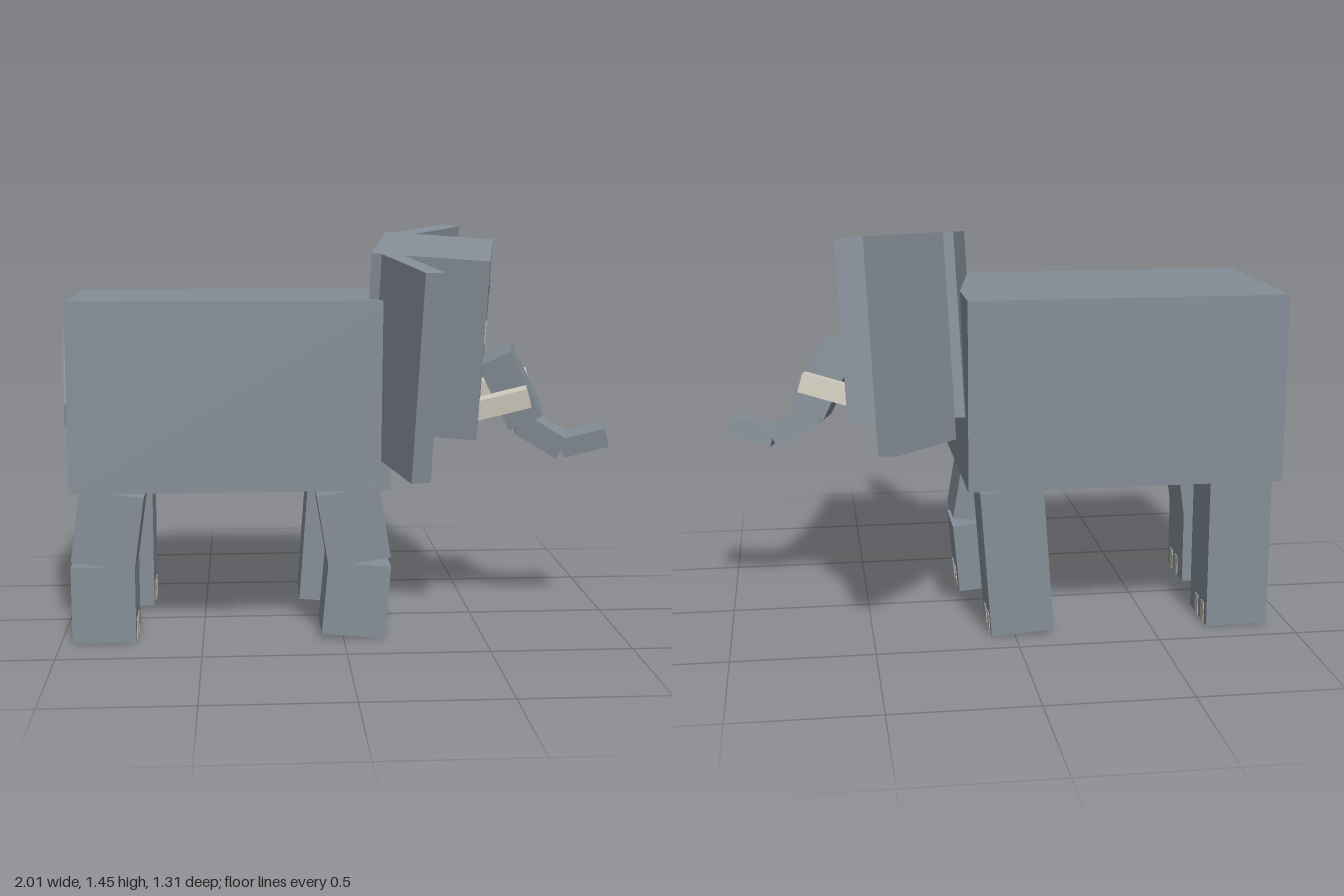
import * as THREE from 'three';

const mat = (name, color) => {
  const m = new THREE.MeshStandardMaterial({ color });
  m.name = name;
  return m;
};

export function createModel() {
  const skin = mat('skin grey', 0x848d97);
  const shade = mat('dark grey', 0x626c78);
  const earDark = mat('inner ear grey', 0x58636f);
  const ivory = mat('ivory', 0xd3cdbf);
  const nailMat = mat('nail beige', 0xbab4a9);

  // Box with size, centre and optional tilt about z
  function box(parent, name, material, size, pos, tilt = 0) {
    const m = new THREE.Mesh(new THREE.BoxGeometry(...size), material);
    m.name = name;
    m.position.set(...pos);
    m.rotation.z = tilt;
    parent.add(m);
    return m;
  }
  function group(parent, name, pos) {
    const g = new THREE.Group();
    g.name = name;
    g.position.set(...pos);
    parent.add(g);
    return g;
  }

  const model = new THREE.Group();
  model.name = 'elephant';

  // Body
  box(model, 'body', skin, [1.125, 0.67, 0.71], [-0.3975, 0.875, -0.04]);

  // Leg piece running from its top centre to its bottom centre
  const legWidth = 0.224;
  function legPiece(parent, name, top, bottom, z) {
    const dx = bottom[0] - top[0], dy = bottom[1] - top[1];
    const pos = [(top[0] + bottom[0]) / 2, (top[1] + bottom[1]) / 2, z];
    return box(parent, name, skin, [legWidth, Math.hypot(dx, dy), legWidth], pos, Math.atan2(dx, -dy));
  }
  // Toenails on the front of the foot, set towards the outer side
  function nails(foot, side) {
    const bottom = -foot.geometry.parameters.height / 2;
    for (const offset of [0.0575, -0.02]) {
      box(foot, 'toenail', nailMat, [0.006, 0.075, 0.037], [legWidth / 2, bottom + 0.038, side * offset]);
    }
  }
  const legs = [
    { name: 'frontLegBent', side: 1, z: 0.208, joints: [[0.015, 0.54], [0.0575, 0.282], [0.0575, 0.275], [0.033, 0.014]] },
    { name: 'frontLegStraight', side: -1, z: -0.28, joints: [[0.012, 0.54], [-0.028, 0.012]] },
    { name: 'backLegBent', side: 1, z: 0.208, joints: [[-0.811, 0.54], [-0.8475, 0.282], [-0.8475, 0.28], [-0.8475, 0.005]] },
    { name: 'backLegStraight', side: -1, z: -0.28, joints: [[-0.811, 0.545], [-0.811, 0.005]] },
  ];
  for (const { name, side, z, joints } of legs) {
    const leg = group(model, name, [0, 0, 0]);
    let piece;
    for (let i = 0; i < joints.length; i += 2) {
      piece = legPiece(leg, i + 2 < joints.length ? 'upperLeg' : 'lowerLeg', joints[i], joints[i + 1], z);
    }
    nails(piece, side);
  }

  // Tail, hanging slightly to one side
  const tail = group(model, 'tail', [-0.981, 0.94, -0.005]);
  tail.rotation.x = -0.17;
  box(tail, 'tailStem', skin, [0.038, 0.33, 0.045], [0, 0.0375, 0]);
  box(tail, 'tailTuft', shade, [0.038, 0.075, 0.045], [0, -0.165, 0]);

  // Head, turned, nodded and rolled a little
  const head = group(model, 'head', [0.336, 1.071, 0.006]);
  head.rotation.set(0.106, -0.171, -0.065, 'YZX');
  box(head, 'skull', skin, [0.41, 0.64, 0.565], [0, 0, 0]);
  const face = 0.205;

  for (const s of [1, -1]) {
    // Ear hinged at the rear edge of the head, with a dark inner panel
    const ear = group(head, 'ear', [-0.17, 0.32, s * 0.286]);
    ear.rotation.y = s * 0.471;
    box(ear, 'earFlap', skin, [0.07, 0.715, 0.38], [0.035, -0.3575, s * 0.19]);
    box(ear, 'innerEar', earDark, [0.006, 0.575, 0.3], [0.07, -0.3575, s * 0.19]);

    // Brow and eye
    box(head, 'brow', shade, [0.006, 0.036, 0.148], [face, 0.154, s * 0.172]);
    box(head, 'eyeWhite', ivory, [0.006, 0.075, 0.0375], [face, 0.055, s * 0.191]);
    box(head, 'pupil', s > 0 ? shade : skin, [0.006, 0.075, 0.0375], [face, 0.055, s * 0.1535]);

    // Tusk, rising forwards
    box(head, 'tusk', ivory, [0.22, 0.07, 0.07], [face + 0.07, -0.212, s * 0.15], 0.33);
  }

  // Trunk in three tapering segments
  const trunk = group(head, 'trunk', [face, 0, 0]);
  box(trunk, 'trunkBase', skin, [0.265, 0.13, 0.19], [0.107, -0.177, 0], -1.056);
  box(trunk, 'trunkMiddle', skin, [0.18, 0.085, 0.128], [0.234, -0.343, 0.008], -0.48);
  box(trunk, 'trunkTip', skin, [0.168, 0.07, 0.122], [0.392, -0.357, 0.005], 0.33);

  return model;
}
